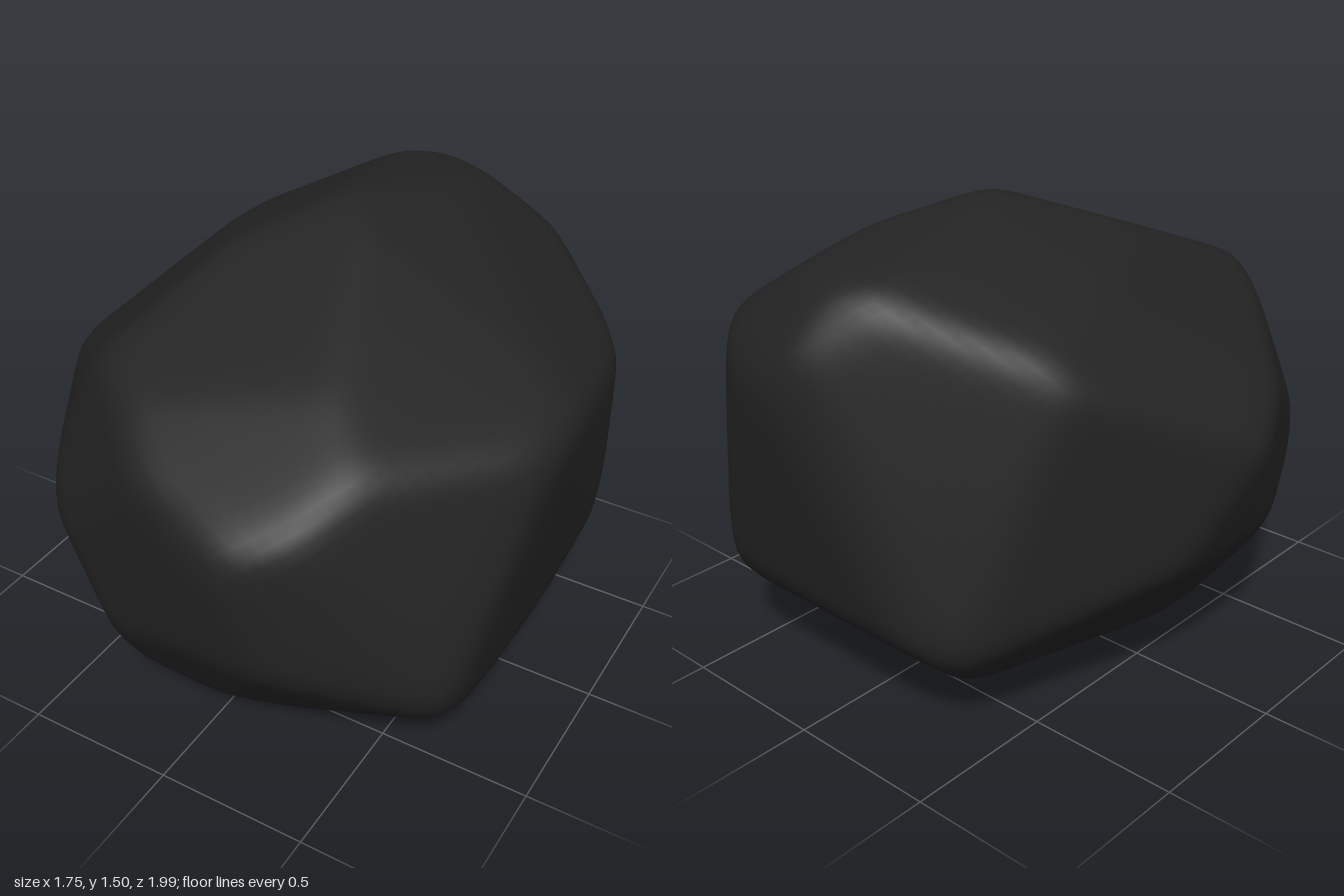
import * as THREE from 'three';
import { mergeVertices } from 'three/addons/utils/BufferGeometryUtils.js';

const CENTRE_Y = 0.755;

// Chisel cuts along one direction: one plane for every edge of a convex outline
function chisel(right, up, outline) {
  return outline.map(([a, b], i) => {
    const [c, d] = outline[(i + 1) % outline.length];
    const normal = right.clone().multiplyScalar(d - b).addScaledVector(up, a - c).normalize();
    let distance = normal.dot(right) * a + normal.dot(up) * b;
    if (distance < 0) {
      normal.negate();
      distance = -distance;
    }
    return { normal, distance };
  });
}

// Sideways and upward axes of a diagonal direction
function diagonal(x, z, degrees) {
  const direction = new THREE.Vector3(x, Math.SQRT2 * Math.tan(THREE.MathUtils.degToRad(degrees)), z).normalize();
  const right = new THREE.Vector3(z, 0, -x).normalize();
  return [right, direction.cross(right)];
}

const X = new THREE.Vector3(1, 0, 0);
const Y = new THREE.Vector3(0, 1, 0);
const Z = new THREE.Vector3(0, 0, 1);
const fromCentre = ([a, y]) => [a, y - CENTRE_Y];

const cuts = [
  // front to back: peaked top, narrow foot
  ...chisel(X, Y, [[0, 1.53], [-0.45, 1.31], [-0.9, 0.86], [-0.76, 0.44], [-0.42, 0.01],
    [0.25, -0.01], [0.78, 0.22], [0.9, 1.12]].map(fromCentre)),
  // side to side: top sloping down to the front
  ...chisel(Z, Y, [[0.99, 1.07], [1.01, 0.9], [0.93, 0.5], [0.67, 0.06], [-0.5, 0],
    [-0.88, 0.36], [-1.01, 1.1], [-0.95, 1.37], [-0.14, 1.52]].map(fromCentre)),
  // straight down: egg-shaped plan
  ...chisel(X, Z, [[0.1, -1.02], [0.5, -0.88], [0.82, -0.45], [0.9, 0.1], [0.8, 0.65],
    [0.25, 1.02], [-0.58, 0.74], [-0.9, 0.06], [-0.45, -0.83]]),
  // diagonals
  ...chisel(...diagonal(1, 1, 25), [[0.53, 0.88], [0.9, 0.53], [0.98, -0.4], [0.45, -0.8],
    [-0.2, -0.88], [-0.72, -0.77], [-0.93, -0.1], [-0.75, 0.34], [-0.2, 0.68]]),
  ...chisel(...diagonal(-1, -1, 25), [[0.13, 0.71], [0.71, 0.52], [0.94, -0.12], [0.56, -0.7],
    [-0.32, -0.88], [-0.96, -0.52], [-0.93, 0.37], [-0.63, 0.6]]),
  ...chisel(...diagonal(1, -1, -30), [[0.55, 0.92], [0.71, 0.72], [0.89, -0.27], [0, -0.99],
    [-0.45, -0.87], [-1.04, -0.28], [-0.76, 0.58]]),
];

// Wears the edges down by pulling each vertex halfway to its neighbours
function wear(geometry, rounds) {
  const pos = geometry.attributes.position.array;
  const index = geometry.index.array;
  for (let k = 0; k < rounds; k++) {
    const sum = new Float32Array(pos.length);
    const count = new Uint8Array(pos.length / 3);
    index.forEach((a, i) => {
      const b = index[i % 3 === 2 ? i - 2 : i + 1];
      for (let c = 0; c < 3; c++) sum[a * 3 + c] += pos[b * 3 + c];
      count[a]++;
    });
    for (let i = 0; i < pos.length; i++) pos[i] = (pos[i] + sum[i] / count[Math.floor(i / 3)]) / 2;
  }
}

export function createModel() {
  // Ball whose surface is pushed in to the nearest cut
  const ball = new THREE.IcosahedronGeometry(1, 26);
  ball.deleteAttribute('normal');
  ball.deleteAttribute('uv');
  const geometry = mergeVertices(ball);
  const pos = geometry.attributes.position;
  const p = new THREE.Vector3();
  for (let i = 0; i < pos.count; i++) {
    p.fromBufferAttribute(pos, i);
    let radius = 2;
    for (const { normal, distance } of cuts) {
      const facing = normal.dot(p);
      if (facing > 0) radius = Math.min(radius, distance / facing);
    }
    p.multiplyScalar(radius);
    pos.setXYZ(i, p.x, p.y, p.z);
  }
  wear(geometry, 6);

  // Centre it and stand it on the ground
  geometry.center();
  geometry.translate(0, -geometry.boundingBox.min.y, 0);
  geometry.computeVertexNormals();

  const darkStone = new THREE.MeshStandardMaterial({ color: 0x232323 });
  darkStone.name = 'darkStone';
  const rock = new THREE.Mesh(geometry, darkStone);
  rock.name = 'rock';

  const boulder = new THREE.Group();
  boulder.name = 'boulder';
  boulder.add(rock);
  return boulder;
}
